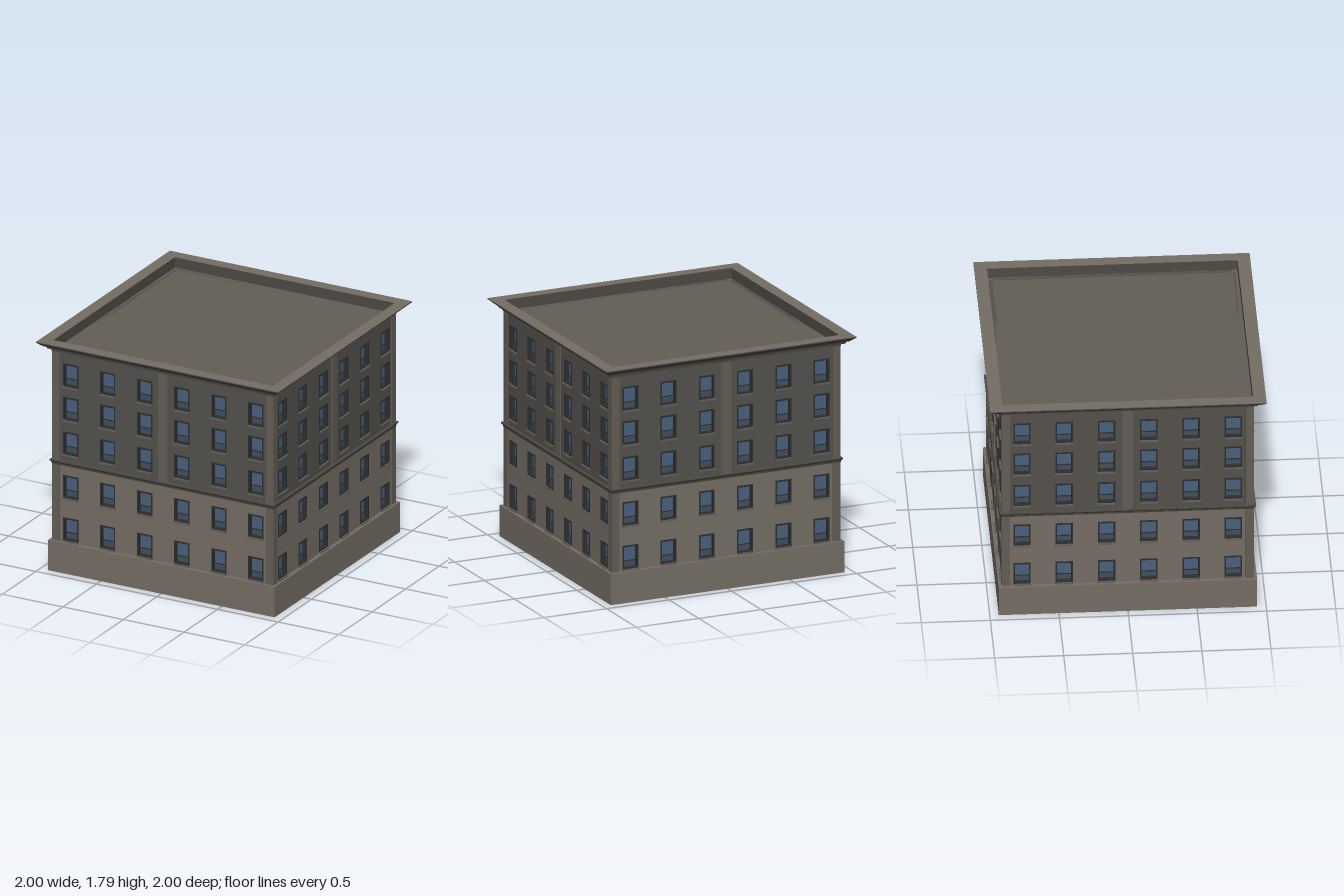
import * as THREE from 'three';

const mat = (color) => new THREE.MeshStandardMaterial({ color, flatShading: true });
const WALL = 0.905; // distance of the wall face from the centre
const DEPTH = 0.035; // depth of the window openings
const WIN_W = 0.126, WIN_H = 0.18;
const COLUMNS = [-0.765, -0.46, -0.153, 0.153, 0.46, 0.765];

const M = {
  stone: mat(0x746d64), upper: mat(0x54514c), trim: mat(0x635d55), roof: mat(0x625d54),
  belt: mat(0x4e4a45), frame: mat(0x2b2e2f), glass: mat(0x48607c), lowGlass: mat(0x414f5e),
};

function add(parent, name, geometry, material, x = 0, y = 0, z = 0) {
  const mesh = new THREE.Mesh(geometry, material);
  mesh.name = name;
  mesh.position.set(x, y, z);
  parent.add(mesh);
  return mesh;
}

// Square ring or slab swept from a profile of [half width, height] points
function squareSweep(profile) {
  const pts = profile.map(([r, y]) => new THREE.Vector2(r * Math.SQRT2, y));
  return new THREE.LatheGeometry(pts, 4).rotateY(Math.PI / 4).toNonIndexed();
}

function rectangle(Type, x0, y0, x1, y1) {
  const s = new Type();
  s.moveTo(x0, y0);
  s.lineTo(x1, y0);
  s.lineTo(x1, y1);
  s.lineTo(x0, y1);
  s.closePath();
  return s;
}

const extrude = (shape, depth) => new THREE.ExtrudeGeometry(shape, { depth, bevelEnabled: false });

// Wall panel pierced by rows of window openings
function wallPanel(y0, y1, rows) {
  const shape = rectangle(THREE.Shape, -0.87, y0, 0.87, y1);
  for (const y of rows) for (const x of COLUMNS) {
    shape.holes.push(rectangle(THREE.Path, x - WIN_W / 2, y, x + WIN_W / 2, y + WIN_H));
  }
  return extrude(shape, DEPTH);
}

// Sash window: deep dark frame, two panes, meeting rail and sill
const frameShape = rectangle(THREE.Shape, -WIN_W / 2, 0, WIN_W / 2, WIN_H);
frameShape.holes.push(rectangle(THREE.Path, -WIN_W / 2 + 0.011, 0.011, WIN_W / 2 - 0.011, WIN_H - 0.013));
const G = {
  frame: extrude(frameShape, DEPTH + 0.002),
  upperPane: new THREE.PlaneGeometry(WIN_W, WIN_H - 0.055),
  lowerPane: new THREE.PlaneGeometry(WIN_W, 0.055),
  rail: new THREE.BoxGeometry(WIN_W - 0.02, 0.006, 0.008),
  sill: new THREE.BoxGeometry(WIN_W + 0.004, 0.01, 0.02),
};

function makeWindow(x, y) {
  const w = new THREE.Group();
  w.name = 'window';
  w.position.set(x, y, WALL - DEPTH);
  add(w, 'windowFrame', G.frame, M.frame);
  add(w, 'upperPane', G.upperPane, M.glass, 0, 0.055 + (WIN_H - 0.055) / 2, 0.003);
  add(w, 'lowerPane', G.lowerPane, M.lowGlass, 0, 0.0275, 0.003);
  add(w, 'meetingRail', G.rail, M.frame, 0, 0.056, 0.006);
  add(w, 'sill', G.sill, M.trim, 0, -0.003, DEPTH + 0.006);
  return w;
}

export function createModel() {
  const model = new THREE.Group();
  model.name = 'building';

  // Plinth, belt course and cornice run round all four sides
  add(model, 'plinth', squareSweep([[0, 0], [0.935, 0], [0.935, 0.235], [0.86, 0.235]]), M.stone);
  add(model, 'beltCourse', squareSweep([
    [0.88, 0.83], [0.915, 0.83], [0.918, 0.845], [0.928, 0.857], [0.928, 0.865], [0.88, 0.865],
  ]), M.belt);
  add(model, 'cornice', squareSweep([
    [0.87, 1.708], [0.917, 1.708], [0.917, 1.722], [0.94, 1.73], [0.945, 1.745],
    [0.96, 1.75], [0.998, 1.782], [1, 1.782], [1, 1.79],
  ]), M.belt);
  add(model, 'parapetTop', squareSweep([[1, 1.79], [0.907, 1.79]]), M.stone);
  add(model, 'parapetInside', squareSweep([[0.907, 1.79], [0.907, 1.71]]), M.belt);
  add(model, 'roof', squareSweep([[0.907, 1.71], [0, 1.71]]), M.roof);

  const storeys = [
    { name: 'lowerWall', y0: 0.235, y1: 0.84, rows: [0.245, 0.575], material: M.stone },
    { name: 'upperWall', y0: 0.84, y1: 1.71, rows: [0.915, 1.185, 1.445], material: M.upper },
  ];
  const panels = storeys.map((s) => wallPanel(s.y0, s.y1, s.rows));
  const cornerPost = new THREE.BoxGeometry(0.06, 1.475, 0.06);
  const pilaster = new THREE.BoxGeometry(0.076, 0.85, 0.02);

  // Four identical facades
  for (let i = 0; i < 4; i++) {
    const facade = new THREE.Group();
    facade.name = 'facade';
    facade.rotation.y = (i * Math.PI) / 2;
    storeys.forEach((s, k) => {
      add(facade, s.name, panels[k], s.material, 0, 0, WALL - DEPTH);
      for (const y of s.rows) for (const x of COLUMNS) facade.add(makeWindow(x, y));
    });
    add(facade, 'cornerPost', cornerPost, M.trim, 0.884, 0.9725, 0.884);
    add(facade, 'pilaster', pilaster, M.trim, 0, 1.285, WALL - 0.002);
    model.add(facade);
  }
  return model;
}
